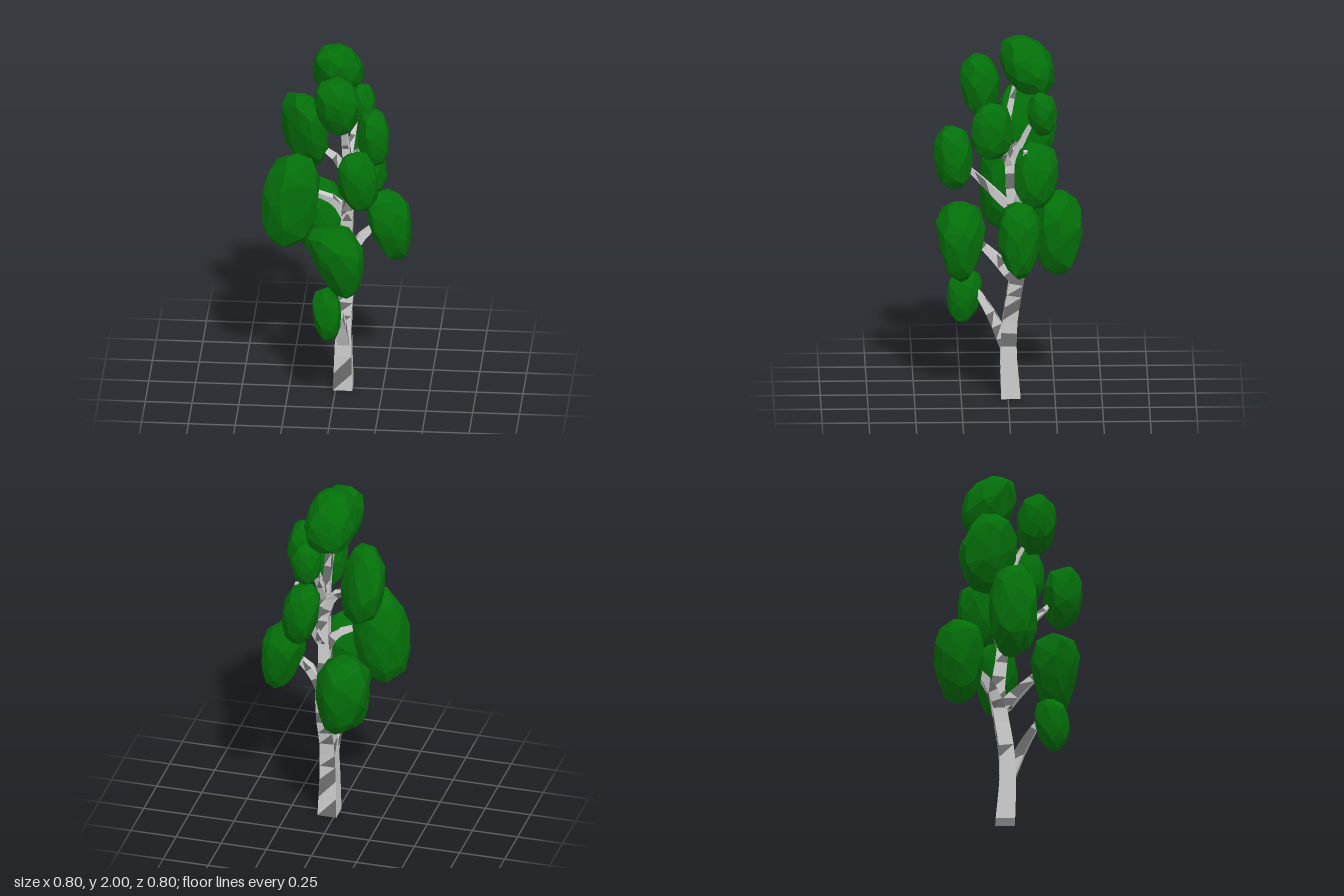
import * as THREE from 'three';
import { ConvexGeometry } from 'three/addons/geometries/ConvexGeometry.js';

// Small seeded generator for repeatable irregularity
function seeded(seed) {
  let s = seed * 7919 + 17;
  return () => {
    s = (Math.imul(s, 1664525) + 1013904223) >>> 0;
    return s / 4294967296;
  };
}

const material = (color) => new THREE.MeshStandardMaterial({ color, flatShading: true });
const leafMaterial = material(0x04700a);
const barkMaterial = material(0xcccccc);
const darkBarkMaterial = material(0x707070);
const V = (p) => new THREE.Vector3(...p);

// Faceted leaf clump: a leaning, tapered, skewed hull of scattered points fitted into a box
function leafClump(name, min, max, leanX, leanZ, taper, skew, seed) {
  const rand = seeded(seed), count = 46, fullness = 2.4, points = [];
  for (let i = 0; i < count; i++) {
    const y = THREE.MathUtils.clamp(1 - (2 * (i + 0.5)) / count + (rand() - 0.5) * 0.12, -1, 1);
    const angle = i * 2.39996 + (rand() - 0.5) * 0.6;
    const ring = Math.sqrt(1 - y * y);
    const p = new THREE.Vector3(ring * Math.cos(angle), y, ring * Math.sin(angle));
    const norm = p.toArray().reduce((sum, c) => sum + Math.abs(c) ** fullness, 0) ** (1 / fullness);
    p.multiplyScalar((0.95 + 0.07 * rand()) / norm);
    const width = 1 + taper * p.y;
    points.push(p.set(p.x * width + leanX * p.y, p.y, (p.z + skew * p.x) * width + leanZ * p.y));
  }
  const box = new THREE.Box3().setFromPoints(points);
  const extent = box.getSize(new THREE.Vector3());
  const target = V(max).sub(V(min));
  points.forEach((p) => p.sub(box.min).divide(extent).multiply(target).add(V(min)));
  const mesh = new THREE.Mesh(new ConvexGeometry(points), leafMaterial);
  mesh.name = name;
  return mesh;
}

// Square-section limb along a curve, its triangles shared out between light and dark bark
function limb(name, path, radii, segments, seed) {
  const rand = seeded(seed), light = [], dark = [], rings = [];
  const curve = new THREE.CatmullRomCurve3(path.map(V));
  for (let i = 0; i <= segments; i++) {
    const t = i / segments;
    const centre = curve.getPoint(t);
    const dir = i === 0 ? new THREE.Vector3(0, 1, 0) : curve.getTangent(t);
    const u = new THREE.Vector3(1, 0, 0).addScaledVector(dir, -dir.x).normalize();
    const w = u.clone().cross(dir);
    const f = t * (radii.length - 1), k = Math.min(Math.floor(f), radii.length - 2);
    const r = THREE.MathUtils.lerp(radii[k], radii[k + 1], f - k);
    rings.push([[1, 1], [1, -1], [-1, -1], [-1, 1]].map(([a, b]) =>
      centre.clone().addScaledVector(u, a * r).addScaledVector(w, b * r)));
  }
  const add = (list, ...corners) => corners.forEach((c) => list.push(c.x, c.y, c.z));
  for (let i = 0; i < segments; i++) {
    for (let j = 0; j < 4; j++) {
      const a = rings[i][j], b = rings[i][(j + 1) % 4];
      const c = rings[i + 1][(j + 1) % 4], d = rings[i + 1][j];
      const pick = rand();
      add(pick < 0.38 ? dark : light, a, b, c);
      add(pick < 0.2 || pick > 0.8 ? dark : light, a, c, d);
    }
  }
  // End caps
  const [p, q] = [rings[0], rings[segments]];
  add(light, p[0], p[3], p[2], p[0], p[2], p[1]);
  add(light, q[0], q[1], q[2], q[0], q[2], q[3]);

  const group = new THREE.Group();
  group.name = name;
  [['bark', light, barkMaterial], ['barkPatches', dark, darkBarkMaterial]].forEach(([part, list, mat]) => {
    if (!list.length) return;
    const geometry = new THREE.BufferGeometry();
    geometry.setAttribute('position', new THREE.Float32BufferAttribute(list, 3));
    geometry.computeVertexNormals();
    const mesh = new THREE.Mesh(geometry, mat);
    mesh.name = part;
    group.add(mesh);
  });
  return group;
}

export function createModel() {
  const tree = new THREE.Group();
  tree.name = 'tree';

  // Gently winding trunk
  tree.add(limb('trunk', [
    [0.038, 0, -0.015], [0.04, 0.25, -0.002], [0.044, 0.43, -0.01], [0.057, 0.6, -0.035],
    [0.056, 0.75, -0.055], [0.055, 0.95, -0.035], [0.067, 1.15, -0.018],
    [0.06, 1.35, -0.005], [0.045, 1.55, 0], [0.035, 1.75, -0.04],
  ], [0.052, 0.044, 0.04, 0.039, 0.039, 0.032, 0.029, 0.023, 0.018, 0.012], 22, 5));

  // Branches: root, elbow, tip and root thickness
  [
    [[0.042, 0.27, 0.008], [0.028, 0.43, 0.075], [-0.015, 0.6, 0.18], 0.033],
    [[0.05, 0.66, -0.035], [0.04, 0.76, 0.05], [0.01, 0.88, 0.18], 0.033],
    [[0.05, 0.66, -0.045], [0.0, 0.78, -0.1], [-0.09, 0.88, -0.22], 0.032],
    [[0.05, 0.72, -0.04], [0.12, 0.86, -0.045], [0.23, 0.97, -0.055], 0.03],
    [[0.06, 0.99, -0.025], [0.0, 1.095, -0.015], [-0.16, 1.17, 0.0], 0.026],
    [[0.06, 1.02, -0.025], [0.12, 1.16, -0.065], [0.2, 1.42, -0.09], 0.024],
    [[0.06, 1.05, -0.02], [0.085, 1.19, 0.11], [0.13, 1.34, 0.25], 0.024],
    [[0.06, 1.2, -0.015], [0.015, 1.33, -0.03], [-0.14, 1.43, -0.07], 0.026],
    [[0.06, 1.28, -0.01], [0.11, 1.4, 0.03], [0.18, 1.52, 0.07], 0.02],
    [[0.06, 1.3, -0.01], [0.08, 1.43, -0.07], [0.11, 1.6, -0.15], 0.02],
    [[0.055, 1.4, -0.005], [0.045, 1.54, 0.045], [0.025, 1.7, 0.13], 0.017],
  ].forEach(([root, elbow, tip, r], i) =>
    tree.add(limb('branch' + (i + 1), [root, elbow, tip], [r, r * 0.8, r * 0.4], 5, i + 11)));

  // Leaf clumps: name, box corners, lean in x and z, widening towards the top, skew of z along x
  [
    ['crownLeaves', [-0.135, 1.68, -0.25], [0.14, 2, 0.045], -0.05, 0.35, -0.05, 0],
    ['upperFrontLeaves', [-0.105, 1.58, 0.045], [0.135, 1.9, 0.26], -0.1, 0.1, 0.1, 0],
    ['upperRightLeaves', [-0.305, 1.26, -0.265], [-0.045, 1.69, 0.045], -0.15, 0.25, 0, 0.5],
    ['upperLeftLeaves', [0.12, 1.38, -0.025], [0.292, 1.69, 0.2], 0, 0, 0, 0.15],
    ['upperBackLeaves', [0.04, 1.48, -0.26], [0.2, 1.72, -0.1], 0, 0.1, 0.05, 0],
    ['middleFrontLeaves', [0.03, 1.2, 0.19], [0.248, 1.54, 0.4], -0.15, 0.05, 0.08, 0],
    ['middleBackLeaves', [0.05, 1.09, -0.265], [0.265, 1.44, -0.03], -0.25, -0.05, 0.05, 0.15],
    ['middleRightLeaves', [-0.4, 0.84, -0.11], [-0.085, 1.38, 0.147], 0.15, 0, 0, 0],
    ['lowerLeftLeaves', [0.16, 0.74, -0.175], [0.398, 1.15, 0.06], -0.3, 0, 0.2, 0],
    ['lowerBackLeaves', [-0.25, 0.64, -0.4], [0.036, 1.095, -0.13], -0.15, 0, 0.18, 0],
    ['lowerFrontLeaves', [-0.125, 0.65, 0.12], [0.17, 1.07, 0.385], -0.3, 0, 0.32, 0.15],
    ['lowestLeaves', [-0.11, 0.395, 0.14], [0.045, 0.685, 0.325], -0.15, -0.15, 0.12, 0],
  ].forEach((clump, i) => tree.add(leafClump(...clump, i + 31)));

  return tree;
}
